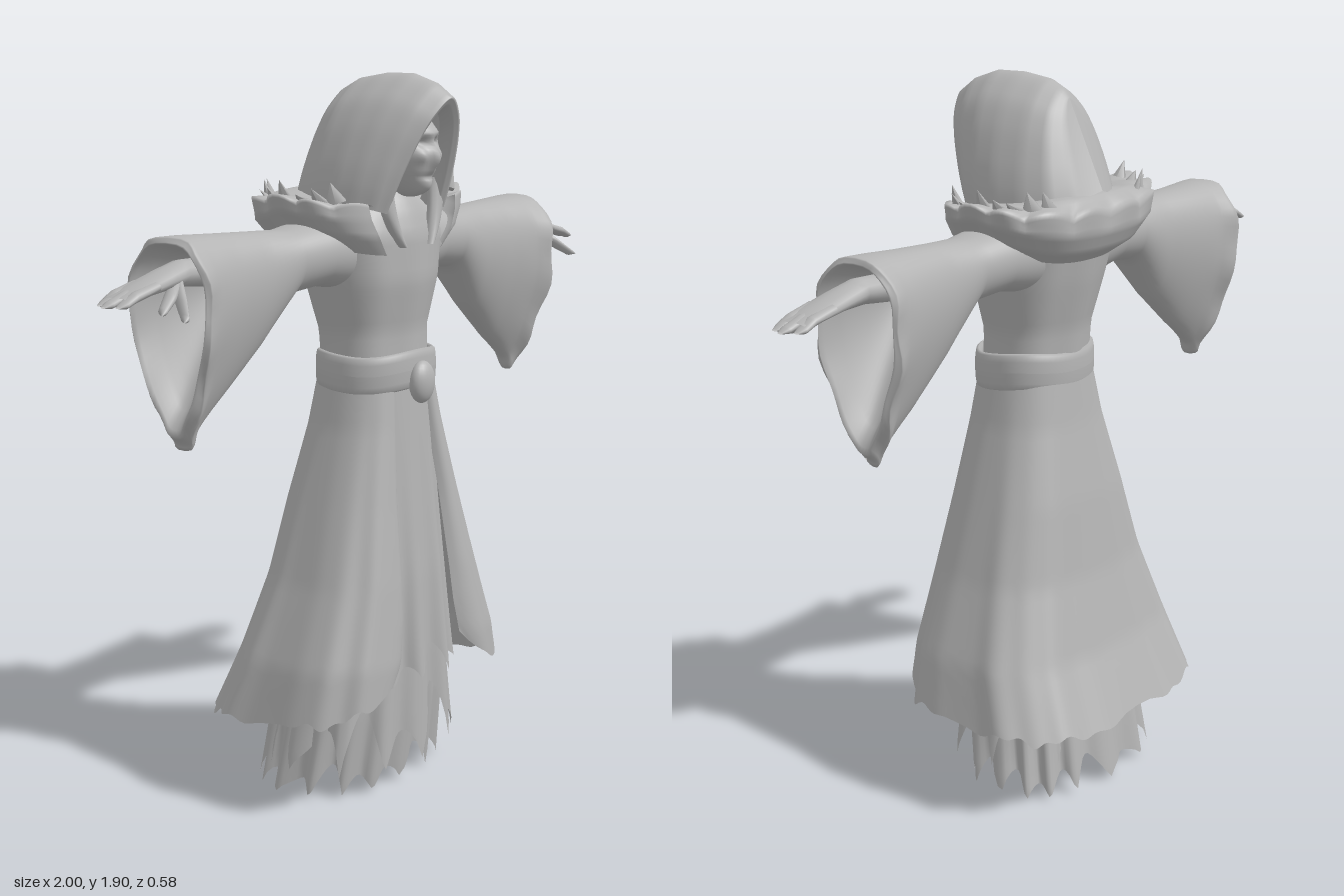
import * as THREE from 'three';

const cloth = new THREE.MeshStandardMaterial({ color: 0xb4b4b4, side: THREE.DoubleSide });
cloth.name = 'plain grey';

const TAU = Math.PI * 2;
const { sin, cos, abs, sign, pow, exp, max, min } = Math;
const lerp = THREE.MathUtils.lerp;

// Reads a table of rows [key, a, b, ...] at a key, keys rising
function read(table, key) {
  let i = 0;
  while (i < table.length - 2 && key > table[i + 1][0]) i++;
  const [a, b] = [table[i], table[i + 1]];
  const t = min(1, max(0, (key - a[0]) / (b[0] - a[0])));
  return a.slice(1).map((n, k) => lerp(n, b[k + 1], t));
}

// Squared-off oval: a = 0 faces the front
const power = (n, p) => sign(n) * pow(abs(n), p);
function oval(a, w, front, back, p = 0.9) {
  return [w * power(sin(a), p), (front + back) / 2 + ((front - back) / 2) * power(cos(a), p)];
}

function mesh(name, geometry) {
  const m = new THREE.Mesh(geometry, cloth);
  m.name = name;
  return m;
}

// Smooth skin over f(u, v) -> [x, y, z]; closed joins u = 1 to u = 0
function skin(name, nu, nv, closed, f) {
  const pos = [], index = [], cols = closed ? nu : nu + 1;
  for (let j = 0; j <= nv; j++)
    for (let i = 0; i < cols; i++) pos.push(...f(i / nu, j / nv));
  for (let j = 0; j < nv; j++)
    for (let i = 0; i < nu; i++) {
      const a = j * cols + i, b = j * cols + ((i + 1) % cols);
      index.push(a, b, b + cols, a, b + cols, a + cols);
    }
  const g = new THREE.BufferGeometry();
  g.setAttribute('position', new THREE.Float32BufferAttribute(pos, 3));
  g.setIndex(index);
  g.computeVertexNormals();
  return mesh(name, g);
}

// Row keys run 0 to 1, so a table can double back on itself
const numbered = (rows) => rows.map((r, i) => [i / (rows.length - 1), ...r]);

// Limb along x through rows [x, y, z, half height, half depth]
function limb(name, side, rows) {
  const t = numbered(rows);
  return skin(name, 12, 12, true, (u, v) => {
    const [x, y, z, ry, rz] = read(t, v);
    return [side * x, y + ry * cos(u * TAU), z + rz * sin(u * TAU)];
  });
}

// Robe outline: height, half width, front z, back z
const robe = [
  [0.2, 0.43, 0.29, -0.29], [0.4, 0.385, 0.285, -0.21], [0.6, 0.31, 0.265, -0.16],
  [0.8, 0.25, 0.238, -0.13], [1.0, 0.19, 0.212, -0.09], [1.14, 0.16, 0.195, -0.07],
];
const opening = [[0.3, 0.19], [0.4, 0.14], [0.5, 0.12], [0.8, 0.1], [1.14, 0.06]];

function outerRobe() {
  return skin('outerRobe', 140, 40, false, (u, v) => {
    const around = abs(u - 0.5) * 2; // 1 at the front edges, 0 at the back
    const hem = lerp(0.22, 0.31, pow(around, 1.6)) + 0.1 * pow(around, 20)
      + 0.008 * cos(around * 30) + 0.006 * cos(around * 67);
    const y = lerp(1.13, hem, v), p = lerp(0.85, 0.62, v);
    const [w, front, back] = read(robe, y);
    const a0 = Math.asin(pow(read(opening, y)[0] / w, 1 / p));
    const a = lerp(a0, TAU - a0, u);
    const fold = 1 + v * (0.014 * cos(a * 10) + 0.008 * cos(a * 17));
    const [x, z] = oval(a, w * fold, front * fold, back * fold, p);
    return [x, y, z - 0.03 * pow(around, 40)];
  });
}

// Ragged skirt layer with cusped points along the hem
function tatters(name, table, top, hem, depth, points, phase) {
  return skin(name, 144, 24, true, (u, v) => {
    const a = u * TAU;
    const rag = pow(abs(sin((points * a) / 2 + phase + 0.5 * sin(3 * a))), 0.8);
    const low = hem + depth * rag * (0.7 + 0.3 * sin(5 * a + phase));
    const [w, front, back] = read(table, lerp(top, low, v));
    const k = 1 + 0.06 * v * v * cos(points * a + 2 * phase + sin(3 * a));
    const [x, z] = oval(a, w * k, front * k, back * k, 0.8);
    return [x, lerp(top, low, v), z];
  });
}

// Torso with rounded shoulders
const chest = [
  [1.1, 0.155, 0.185, -0.06], [1.25, 0.16, 0.18, -0.07], [1.38, 0.195, 0.2, -0.1],
  [1.5, 0.225, 0.195, -0.12], [1.56, 0.2, 0.175, -0.12], [1.6, 0.12, 0.15, -0.09], [1.63, 0.05, 0.12, 0],
];
const torso = () => skin('torso', 64, 24, true, (u, v) => {
  const y = lerp(1.1, 1.63, v), [w, f, b] = read(chest, y);
  const [x, z] = oval(u * TAU, w, f, b);
  return [x, y, z + 0.005 * cos(x * 40) * cos(u * TAU)];
});

const belt = () => skin('belt', 64, 12, true, (u, v) => {
  const out = 0.006 + 0.01 * power(cos(v * TAU), 0.6);
  const [x, z] = oval(u * TAU, 0.16 + out, 0.19 + out, -0.06 - out);
  return [x, 1.145 + 0.05 * power(sin(v * TAU), 0.8) + 0.005 * cos(u * TAU * 3), z];
});

// Mantle, rows of half width, front z, back z, side height, back height
const mantleRows = numbered([
  [0.215, 0.2, -0.115, 1.48, 1.44], [0.29, 0.21, -0.155, 1.53, 1.47], [0.335, 0.205, -0.18, 1.575, 1.52],
  [0.345, 0.2, -0.18, 1.61, 1.575], [0.26, 0.18, -0.145, 1.605, 1.61], [0.13, 0.13, -0.1, 1.59, 1.62],
]);
const mantle = () => skin('mantle', 112, 20, false, (u, v) => {
  const a = lerp(0.5, TAU - 0.5, u);
  const [w, f, b, ySide, yBack] = read(mantleRows, v);
  const rim = exp(-pow((v - 0.58) / 0.13, 2)), rag = abs(sin(a * 7 + 0.5 * sin(4 * a))) - 0.5;
  const [x, z] = oval(a, w + rim * rag * 0.02, f, b - rim * rag * 0.008, 0.8);
  const back = max(0, -cos(a)), front = max(0, cos(a));
  return [x, lerp(ySide, yBack, back) - front * 0.03 + rim * rag * 0.018, z];
});

// Feather tips along the shoulder part of the mantle rim
function feathers(side) {
  const group = new THREE.Group();
  group.name = side > 0 ? 'leftFeathers' : 'rightFeathers';
  for (let i = 0; i < 8; i++) {
    const a = lerp(0.95, 2.5, i / 7), [x, z] = oval(a, 0.31, 0.18, -0.15, 0.8);
    const g = new THREE.ConeGeometry(0.03, 0.055 + 0.015 * (i % 2), 6);
    g.scale(1, 1, 0.45);
    g.rotateY(side * a);
    g.rotateZ(-side * (0.5 + 0.3 * (i % 3)) * sin(a));
    g.translate(side * x, 1.61 + 0.01 * cos(i * 2), z);
    group.add(mesh('feather', g));
  }
  return group;
}

// Hood slices front to back: top z, bottom z, top y, bottom y, half width
const hoodRows = numbered([
  [0.25, 0.13, 1.81, 1.57, 0.098], [0.285, 0.18, 1.83, 1.56, 0.108], [0.3, 0.19, 1.85, 1.56, 0.128],
  [0.25, 0.17, 1.885, 1.57, 0.158], [0.18, 0.12, 1.908, 1.58, 0.178], [0.1, 0.06, 1.908, 1.58, 0.185],
  [0.02, -0.02, 1.895, 1.58, 0.175], [-0.03, -0.09, 1.87, 1.58, 0.145], [-0.045, -0.13, 1.85, 1.6, 0.08],
  [-0.05, -0.15, 1.84, 1.62, 0],
]);
const arch = new THREE.SplineCurve([[1, 0], [0.97, 0.17], [0.88, 0.38], [0.7, 0.64], [0.44, 0.85],
  [0, 1], [-0.44, 0.85], [-0.7, 0.64], [-0.88, 0.38], [-0.97, 0.17], [-1, 0]].map((p) => new THREE.Vector2(...p)));
const hood = () => skin('hood', 60, 36, false, (u, v) => {
  const [zt, zb, yt, yb, w] = read(hoodRows, v), p = arch.getPoint(u);
  return [p.x * w, lerp(yb, yt, p.y), lerp(zb, zt, p.y)];
});

// Face: a sphere shaped by brow, sockets, nose, mouth and jaw
function face() {
  const g = new THREE.SphereGeometry(1, 48, 48), p = g.attributes.position;
  const bump = (d, r) => exp(-pow(d / r, 2));
  for (let i = 0; i < p.count; i++) {
    const y = p.getY(i) * 0.115, jaw = 1 - 0.3 * max(0, -p.getY(i));
    const x = p.getX(i) * 0.08 * jaw;
    let z = p.getZ(i) * 0.08;
    if (z > 0) {
      z -= 0.022 * bump(abs(x) - 0.028, 0.016) * bump(y - 0.025, 0.012);
      z += 0.01 * bump(y - 0.05, 0.012) * bump(x, 0.06);
      z += 0.022 * bump(x, 0.011) * bump(y + 0.015, 0.028);
      z += 0.01 * bump(abs(x) - 0.04, 0.015) * bump(y + 0.01, 0.015);
      z -= 0.008 * bump(y + 0.062, 0.006) * bump(x, 0.03);
      z += 0.018 * bump(y + 0.095, 0.025) * bump(x, 0.03);
    }
    p.setXYZ(i, x, y + 1.71, z + 0.165);
  }
  g.computeVertexNormals();
  return mesh('face', g);
}

// Sleeve rows: x, top, bottom, centre z, half depth, taper to the bottom; the last ones line the cuff
const sleeveRows = numbered([
  [0.13, 1.56, 1.36, 0.03, 0.11, 0], [0.25, 1.545, 1.38, 0.03, 0.1, 0], [0.36, 1.53, 1.37, 0.03, 0.09, 0.1],
  [0.48, 1.535, 1.24, 0.025, 0.095, 0.3], [0.6, 1.54, 1.14, 0.02, 0.115, 0.5], [0.7, 1.545, 1.07, 0.02, 0.135, 0.6],
  [0.76, 1.545, 1.03, 0.02, 0.16, 0.65], [0.77, 1.53, 1.07, 0.02, 0.145, 0.65], [0.7, 1.51, 1.14, 0.02, 0.11, 0.6],
  [0.56, 1.48, 1.35, 0.03, 0.05, 0.3],
]);
const sleeve = (side) => skin(side > 0 ? 'leftSleeve' : 'rightSleeve', 48, 45, true, (u, v) => {
  const [x, top, low, zc, d, taper] = read(sleeveRows, v), a = u * TAU;
  const down = (1 - cos(a)) / 2, cuff = exp(-pow((v - 0.68) / 0.1, 2));
  return [side * (x - cuff * (0.045 * pow(down, 3) + 0.006 * sin(a * 7))),
    lerp(top, low, down), zc + d * power(sin(a), 0.8) * (1 - taper * pow(down, 1.4)) + cuff * 0.005 * sin(a * 9)];
});

// Flat hand with touching fingers; the index finger and thumb spread forward
function hand(side) {
  const group = new THREE.Group();
  group.name = side > 0 ? 'leftHand' : 'rightHand';
  group.add(limb('wristAndPalm', side, [[0.55, 1.45, 0.03, 0.04, 0.04], [0.74, 1.46, 0.035, 0.032, 0.04],
    [0.81, 1.45, 0.037, 0.024, 0.048], [0.9, 1.432, 0.037, 0.015, 0.05], [0.96, 1.417, 0.04, 0.009, 0.045]]));
  for (let i = 0; i < 3; i++) {
    const z = 0.007 + i * 0.031, tip = [0.98, 1, 0.985][i];
    group.add(limb('finger', side, [[0.86, 1.442, z, 0.012, 0.018], [0.93, 1.426, z, 0.012, 0.018],
      [tip - 0.02, 1.412, z, 0.009, 0.017], [tip, 1.408, z, 0.002, 0.008]]));
  }
  const spread = [['indexFinger', 0.89, 1.385, 0.115], ['thumb', 0.865, 1.37, 0.16]];
  for (const [name, x, y, z] of spread)
    group.add(limb(name, side, [[0.77, 1.445, 0.055, 0.016, 0.018], [lerp(0.77, x, 0.5), lerp(1.445, y, 0.5), lerp(0.055, z, 0.5), 0.015, 0.02],
      [x - 0.015, y + 0.005, z - 0.012, 0.01, 0.014], [x, y, z, 0.002, 0.003]]));
  return group;
}

// Soft flat fold hanging from the hood edge to the chest
const hoodFold = (side) => skin('hoodFold', 12, 12, true, (u, v) => {
  const a = u * TAU, w = 0.03 * (1 - 0.7 * v * v);
  return [side * (lerp(0.115, 0.06, v * v) + w * cos(a)), lerp(1.64, 1.47, v), 0.17 + 0.018 * v + 0.018 * sin(a)];
});

export function createModel() {
  const model = new THREE.Group();
  model.name = 'robedFigure';
  const under = [[0, 0.28, 0.15, -0.2], [0.25, 0.26, 0.185, -0.17], [0.4, 0.225, 0.195, -0.15], [0.7, 0.18, 0.19, -0.1], [1.13, 0.14, 0.17, -0.05]];
  const middle = [[0.1, 0.28, 0.21, -0.165], [0.4, 0.235, 0.21, -0.14], [1.13, 0.145, 0.175, -0.05]];
  const upper = [[0.3, 0.22, 0.24, -0.13], [0.6, 0.19, 0.225, -0.11], [1.13, 0.15, 0.18, -0.05]];
  model.add(outerRobe(),
    tatters('lowerSkirt', under, 0.9, 0.01, 0.09, 16, 0.3),
    tatters('middleSkirt', middle, 1.0, 0.08, 0.2, 12, 0),
    tatters('upperSkirt', upper, 1.13, 0.31, 0.09, 12, 0.9),
    torso(), belt(), mantle(), hood(), face());
  const buckle = mesh('buckle', new THREE.SphereGeometry(1, 20, 16));
  buckle.scale.set(0.045, 0.056, 0.028);
  buckle.position.set(0, 1.115, 0.213);
  model.add(buckle);
  for (const side of [1, -1]) model.add(sleeve(side), hand(side), feathers(side), hoodFold(side));
  return model;
}
